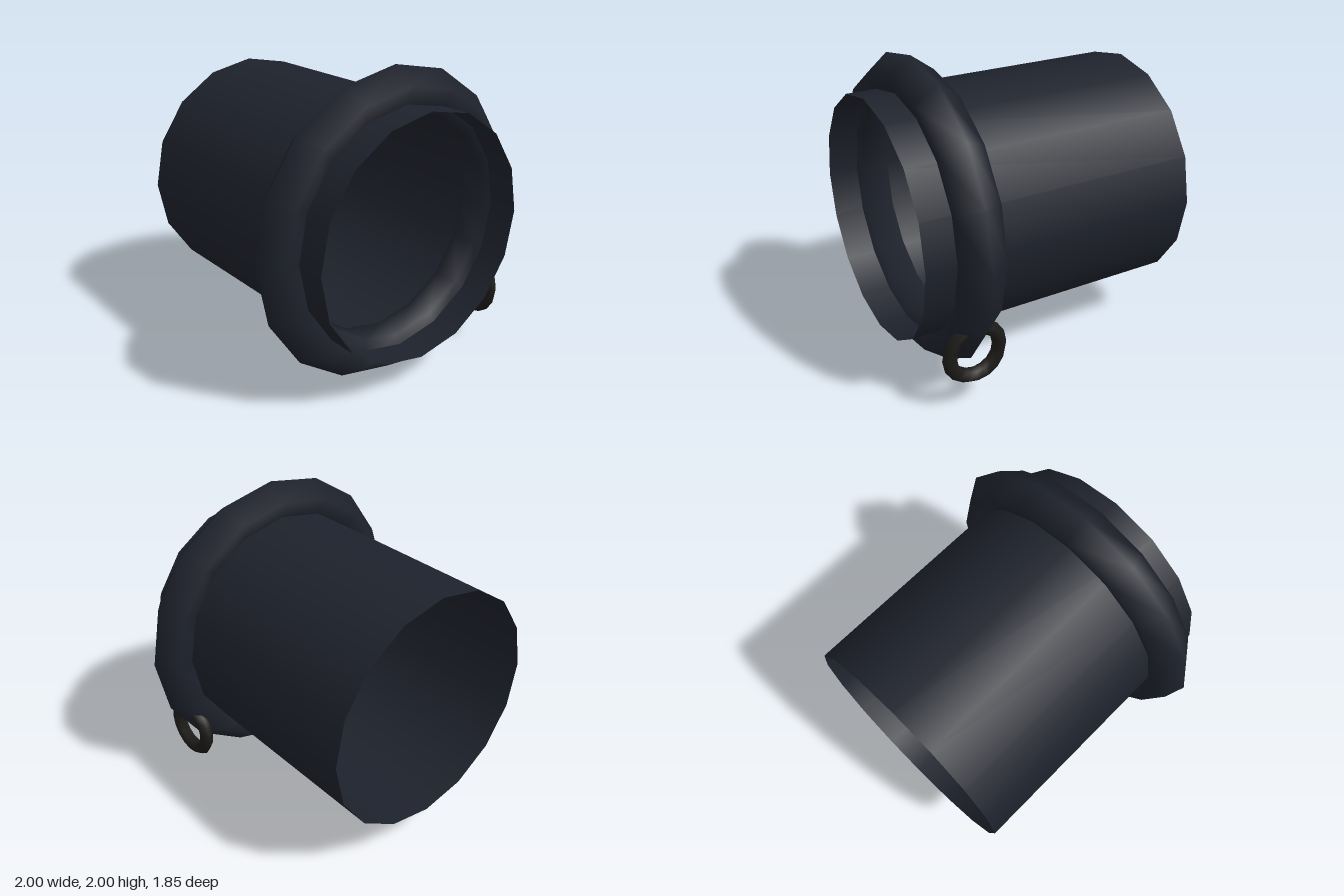
import * as THREE from 'three';

export function createModel() {
  const model = new THREE.Group();
  const iron = new THREE.MeshStandardMaterial({ color: 0x1e222c, side: THREE.DoubleSide });
  const darkIron = new THREE.MeshStandardMaterial({ color: 0x1c1b18 });

  const add = (name, geometry, material, x, y, z) => {
    const mesh = new THREE.Mesh(geometry, material);
    mesh.name = name;
    mesh.position.set(x, y, z);
    model.add(mesh);
    return mesh;
  };

  // Open sleeve lying along z
  const sleeve = new THREE.CylinderGeometry(0.785, 0.785, 1.85, 16, 1, true).rotateX(Math.PI / 2);
  add('sleeve', sleeve, iron, 0, 1, 0);

  // Thick collar around the front end, five-sided in section
  add('collar', new THREE.TorusGeometry(0.845, 0.155, 5, 16), iron, 0, 1, 0.615);

  // Small ring threaded through the lower left of the collar
  const ring = new THREE.TorusGeometry(0.169, 0.047, 5, 16).rotateY(Math.PI / 2);
  add('hangingRing', ring, darkIron, 0.766, 0.382, 0.62);

  return model;
}
